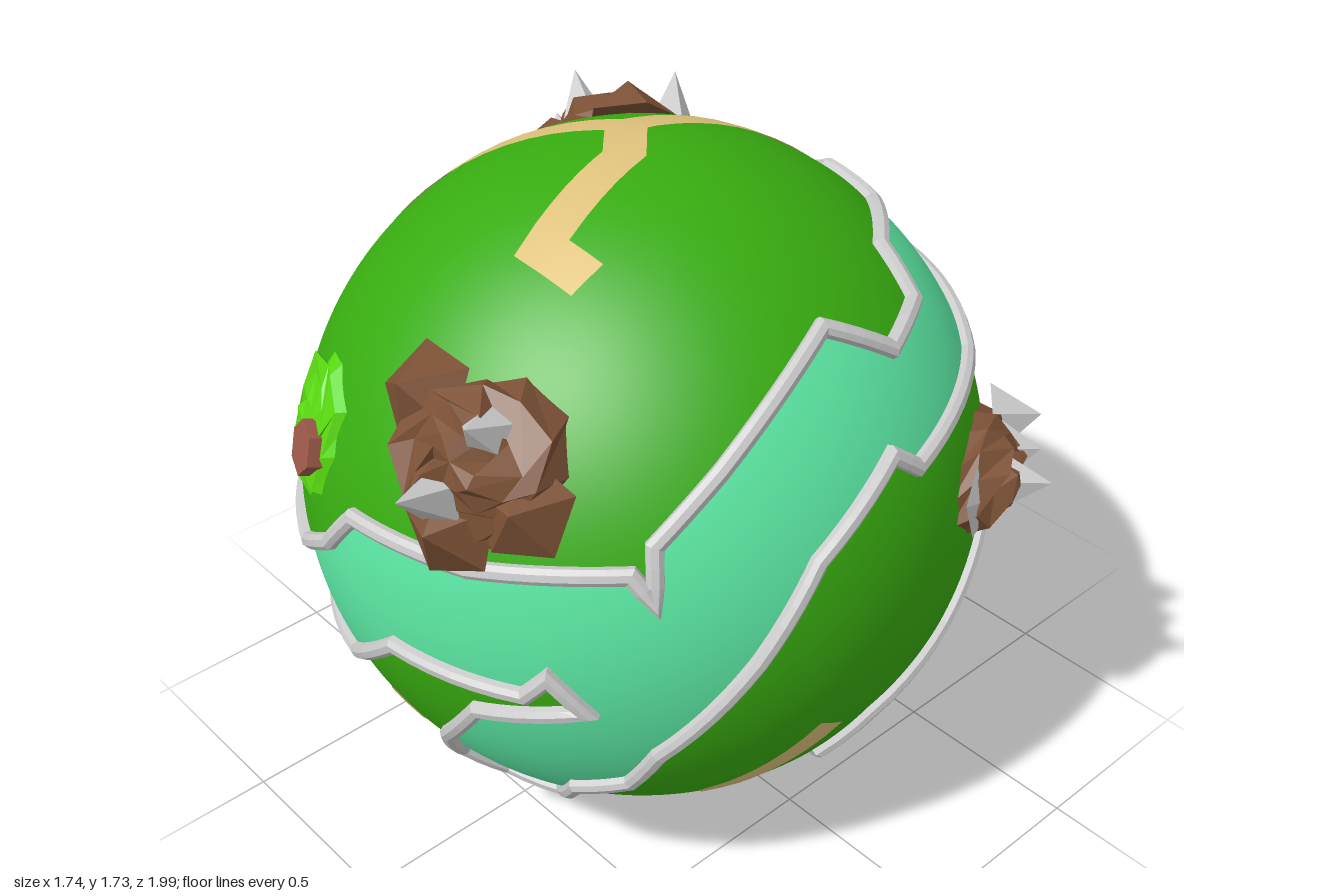
import * as THREE from 'three';

const R = 0.855;
const V = (x, y, z) => new THREE.Vector3(x, y, z);

let seed = 7;
const rand = () => (seed = (seed * 16807) % 2147483647) / 2147483647;

const material = (color, flat = true, side = THREE.FrontSide) =>
  new THREE.MeshStandardMaterial({ color, flatShading: flat, side });

const ROCK = material(0x7d5236), PEAK = material(0xcccccc), LEAF = material(0x58d810), TRUNK = material(0x9c5a48);

// Directions of globe points given in the plane facing azimuth / elevation (degrees)
function facing(az, el, pts) {
  const a = THREE.MathUtils.degToRad(az), e = THREE.MathUtils.degToRad(el);
  const sa = Math.sin(a), ca = Math.cos(a), se = Math.sin(e), ce = Math.cos(e);
  const right = V(ca, 0, -sa), up = V(-se * sa, ce, -se * ca), out = V(ce * sa, se, ce * ca);
  return pts.map(([u, v]) => V(0, 0, 0)
    .addScaledVector(right, u).addScaledVector(up, v)
    .addScaledVector(out, Math.sqrt(Math.max(0, R * R - u * u - v * v))).normalize());
}
const front = (...p) => facing(0, 0, p);
const side = (...p) => facing(90, 0, p);
const rear = (...p) => facing(215, 25, p);
const above = (...p) => facing(0, 90, p);
const below = (...p) => facing(0, -90, p);

// Adds points along each great-circle edge
function densify(pts, closed) {
  const out = [];
  const edges = closed ? pts.length : pts.length - 1;
  for (let i = 0; i < edges; i++) {
    const a = pts[i], b = pts[(i + 1) % pts.length];
    const n = Math.max(1, Math.ceil(a.distanceTo(b) / 0.07));
    for (let k = 0; k < n; k++) out.push(a.clone().lerp(b, k / n).normalize());
  }
  if (!closed) out.push(pts[pts.length - 1].clone());
  return out;
}

// Sweeps a [sideways, height] profile along the globe with mitred corners
function sweep(pts, profile, closed) {
  const n = pts.length, m = profile.length, pos = [], index = [];
  pts.forEach((p, i) => {
    const prev = closed || i > 0 ? pts[(i + n - 1) % n] : null;
    const next = closed || i < n - 1 ? pts[(i + 1) % n] : null;
    const d1 = prev ? p.clone().sub(prev).normalize() : next.clone().sub(p).normalize();
    const d2 = next ? next.clone().sub(p).normalize() : d1;
    const t = d1.clone().add(d2).normalize();
    const left = p.clone().cross(t).normalize();
    const mitre = 1 / Math.max(0.6, t.dot(d1));
    for (const [s, h] of profile) {
      const q = p.clone().multiplyScalar(R).addScaledVector(left, s * mitre).setLength(R + h);
      pos.push(q.x, q.y, q.z);
    }
  });
  for (let i = 0; i < (closed ? n : n - 1); i++) {
    for (let j = 0; j < m - 1; j++) {
      const a = i * m + j, b = ((i + 1) % n) * m + j;
      index.push(a, a + 1, b + 1, a, b + 1, b);
    }
  }
  return build(pos, index);
}

function build(pos, index) {
  const g = new THREE.BufferGeometry();
  g.setAttribute('position', new THREE.Float32BufferAttribute(pos, 3));
  if (index) g.setIndex(index);
  g.computeVertexNormals();
  return g;
}

// Bank along the northern land, from the underside up the rear and over to the front inlet
const northBank = () => [
  ...below([-.12, .05], [-.68, .08]),
  ...rear([.65, -.515], [.545, -.35], [.31, -.23], [0, -.07], [-.345, .31], [-.38, .405]),
  ...side([.52, .63], [.34, .65], [.33, .56], [.16, .54], [0, .63], [-.35, .45], [-.51, .32], [-.535, .195]),
  ...front([.59, .26], [.3, .22], [-.04, .2], [-.14, .08], [-.33, -.05], [-.6, -.05]),
];

// Bank along the southern land, round the front inlets, the side inlet and the rear
const southBank = () => [
  ...front([-.63, -.18], [-.55, -.31], [-.15, -.28], [.1, -.075], [.43, -.075], [.48, -.01], [.54, -.1],
    [.31, -.17], [.15, -.37], [.065, -.54], [.11, -.64], [.26, -.64], [.42, -.455]),
  ...side([-.53, -.39], [-.52, -.25], [-.36, .02], [-.21, .23], [.04, .375], [.11, .32], [.52, .355], [.7, .39]),
  ...rear([-.54, .13], [-.59, 0], [-.73, -.085]),
  ...side([.685, .055], [.5, -.02], [.3, -.25], [.04, -.37], [-.05, -.49], [.03, -.6], [.26, -.56],
    [.43, -.37], [.62, -.23], [.82, .04]),
  ...rear([-.405, -.105], [-.19, -.39], [-.24, -.575], [-.11, -.67], [.17, -.465], [.28, -.575], [.465, -.655]),
  ...below([-.45, -.13], [-.15, -.05]),
];

// Splits the globe into land and water by the shoreline, flattened stereographically
function splitGlobe(loop) {
  const pole = V(-0.3, 0.9, 0.3).normalize();
  const ex = V(0, 0, 1).cross(pole).normalize(), ey = pole.clone().cross(ex);
  const flat = p => { const k = 1 / (1 - p.dot(pole)); return [p.dot(ex) * k, p.dot(ey) * k]; };
  const poly = loop.map(flat);
  const inside = ([x, y]) => {
    let odd = false;
    for (let i = 0, j = poly.length - 1; i < poly.length; j = i++) {
      const [xi, yi] = poly[i], [xj, yj] = poly[j];
      if ((yi > y) !== (yj > y) && x < (xj - xi) * (y - yi) / (yj - yi) + xi) odd = !odd;
    }
    return odd;
  };
  const src = new THREE.IcosahedronGeometry(R, 42).attributes.position.array;
  const land = [], water = [];
  for (let i = 0; i < src.length; i += 9) {
    const c = V(src[i] + src[i + 3] + src[i + 6], src[i + 1] + src[i + 4] + src[i + 7],
      src[i + 2] + src[i + 5] + src[i + 8]).normalize();
    const list = inside(flat(c)) ? water : land;
    for (let k = 0; k < 9; k++) list.push(src[i + k]);
  }
  return [land, water].map(p => {
    const g = build(p);
    g.setAttribute('normal', new THREE.Float32BufferAttribute(p.map(v => v / R), 3));
    return g;
  });
}

// Jagged mound of concentric rings hugging the globe
function mound(dir, rx, ry, height, rings, seg) {
  const n = dir.clone().normalize();
  const ex = V(0, 1, 0).cross(n).normalize(), ey = n.clone().cross(ex);
  const pos = [], index = [];
  const put = (x, y, h) => {
    const p = n.clone().multiplyScalar(R).addScaledVector(ex, x).addScaledVector(ey, y).setLength(R + h);
    pos.push(p.x, p.y, p.z);
  };
  put(0, 0, height);
  for (let r = 1; r <= rings; r++) {
    for (let s = 0; s < seg; s++) {
      const t = r / rings, a = (s + rand() * 0.5 + r * 0.5) / seg * Math.PI * 2;
      const k = t * (0.86 + 0.24 * rand());
      const h = r === rings ? -0.015 : height * (1 - t * t * 0.75) * (0.6 + 0.65 * rand());
      put(Math.cos(a) * rx * k, Math.sin(a) * ry * k, h);
      const b = 1 + (r - 1) * seg, nx = (s + 1) % seg;
      if (r === 1) index.push(0, 1 + s, 1 + nx);
      else index.push(b - seg + s, b + s, b + nx, b - seg + s, b + nx, b - seg + nx);
    }
  }
  return build(pos, index);
}

function add(parent, name, geometry, mat) {
  const mesh = new THREE.Mesh(geometry, mat);
  mesh.name = name;
  parent.add(mesh);
  return mesh;
}

// Faceted spike from the ground to a tip
function spike(parent, name, tip, radius, mat) {
  const t = V(...tip), n = t.clone().normalize(), len = t.length() - R - 0.03;
  const m = add(parent, name, new THREE.ConeGeometry(radius, len, 5), mat);
  m.position.copy(n).multiplyScalar(R + 0.03 + len / 2);
  m.quaternion.setFromUnitVectors(V(0, 1, 0), n);
}

function mountain(parent, name, dir, rx, ry, height, peaks, knobs = []) {
  const g = new THREE.Group();
  g.name = name;
  add(g, 'rock', mound(V(...dir), rx, ry, height, 4, 11), ROCK);
  knobs.forEach(t => spike(g, 'rockKnob', t, 0.12, ROCK));
  peaks.forEach(t => spike(g, 'peak', t, 0.09, PEAK));
  parent.add(g);
}

function grove(parent, name, dir, trunkDir) {
  const g = new THREE.Group();
  g.name = name;
  add(g, 'foliage', mound(V(...dir), 0.21, 0.23, 0.03, 4, 10), LEAF);
  const n = V(...trunkDir).normalize();
  const trunk = add(g, 'trunk', new THREE.CylinderGeometry(0.068, 0.068, 0.07, 6), TRUNK);
  trunk.position.copy(n).multiplyScalar(R + 0.01);
  trunk.quaternion.setFromUnitVectors(V(0, 1, 0), n);
  parent.add(g);
}

export function createModel() {
  const model = new THREE.Group();
  const globe = new THREE.Group();
  globe.name = 'globe';
  globe.position.set(-0.025, 0.875, 0.045);
  model.add(globe);

  // Land, water and the raised bank between them
  const loop = densify(northBank().concat(southBank()), true);
  const [land, water] = splitGlobe(loop);
  add(globe, 'land', land, material(0x38ac10, false));
  add(globe, 'water', water, material(0x5ce8a4, false));
  const bank = [[.021, -.01], [.019, .016], [.008, .026], [-.008, .026], [-.019, .016], [-.021, -.01]];
  add(globe, 'riverBank', sweep(loop, bank, true), PEAK);

  // Sandy paths: one long trail and its three branches
  const sand = material(0xdfc27c, false, THREE.DoubleSide);
  const strip = [[.05, .003], [0, .003], [-.05, .003]];
  const trail = [
    ...above([-.01, .63], [-.13, .07], [-.645, -.26]),
    ...front([-.8, .155], [-.8, -.06], [-.65, -.28], [-.4, -.585], [.005, -.775], [.34, -.725]),
    ...side([-.2, -.65], [-.29, -.54], [-.12, -.3]),
  ];
  const topBranch = above([-.13, .07], [0, -.05], [.09, -.37], [.23, -.36]);
  const frontBranch = front([-.4, -.585], [-.14, -.49], [.025, -.36]);
  const bottomBranch = below([.005, .36], [.07, .25], [.24, -.08], [.2, -.18], [.27, -.32]);
  for (const p of [trail, topBranch, frontBranch, bottomBranch]) {
    add(globe, 'path', sweep(densify(p, false), strip, false), sand);
  }

  // Mountains
  mountain(globe, 'frontMountain', [.255, .44, .69], .25, .21, .13,
    [[.335, .6, .78], [.305, .48, .94]], [[.1, .6, .78], [.44, .43, .76], [.3, .36, .88]]);
  mountain(globe, 'rearMountain', [-.55, .5, -.42], .28, .28, .15,
    [[-.82, .45, -.58], [-.6, .66, -.66], [-.74, .69, -.42], [-.68, .58, -.55], [-.8, .55, -.4]],
    [[-.5, .74, -.4], [-.7, .6, -.3]]);
  mountain(globe, 'sideMountain', [.73, .14, -.42], .21, .14, .1,
    [[.89, .14, -.5], [.74, .2, -.64], [.83, .14, -.33], [.8, .16, -.57]]);
  mountain(globe, 'backMountain', [-.05, -.2, -.83], .2, .2, .13,
    [[-.14, -.06, -1.045], [.04, -.27, -1.03]], [[-.04, -.2, -1]]);

  // Groves
  grove(globe, 'frontGrove', [-.325, .275, .74], [-.26, .25, .775]);
  grove(globe, 'rearGrove', [-.53, -.4, -.53], [-.46, -.5, -.52]);
  return model;
}
